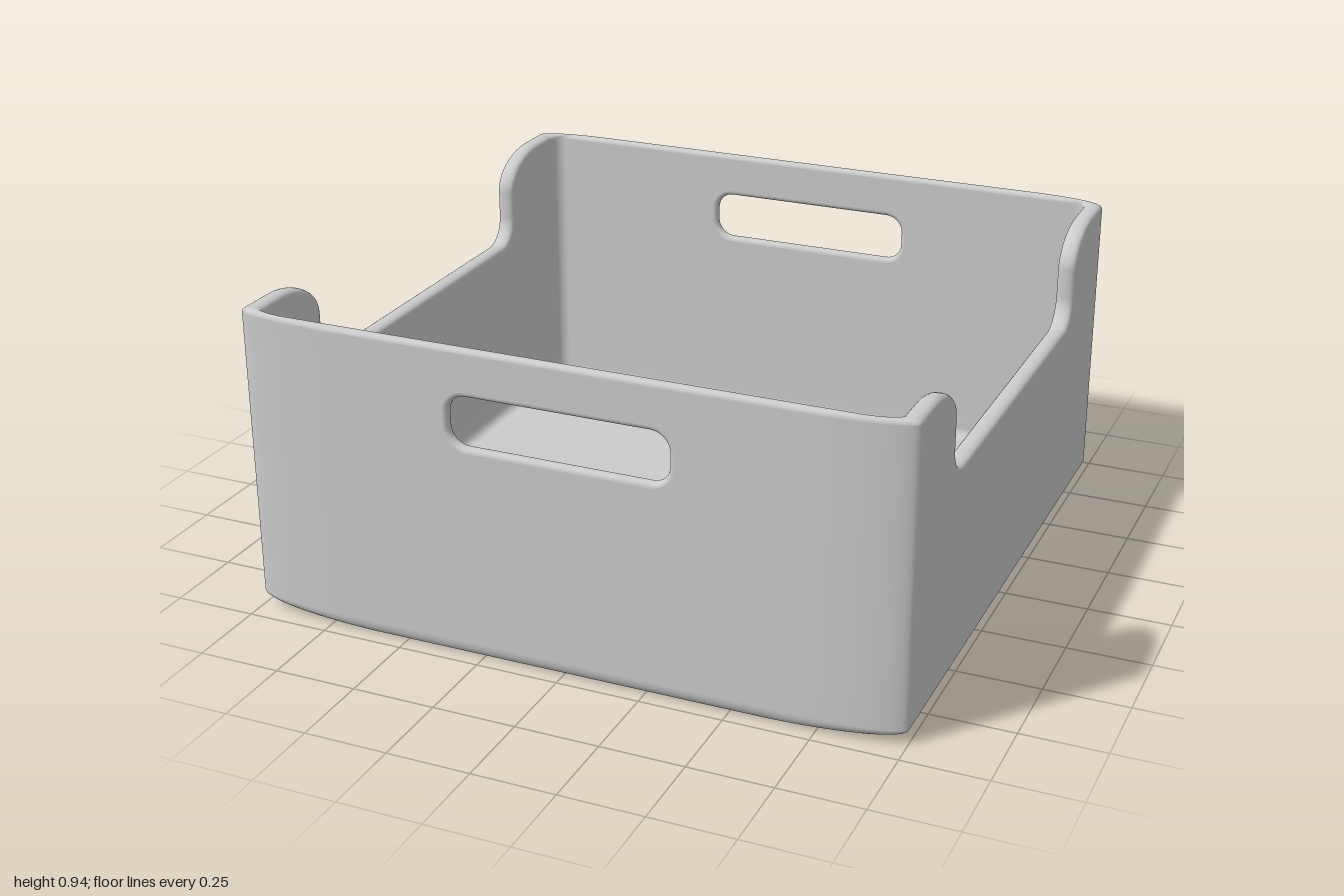
import * as THREE from 'three';

const OX = 1, OZ = 0.965, IX = 0.945, IZ = 0.93; // outer and inner half sizes
const TOP = 0.94, FLOOR = 0.05, R = 0.015;       // rim height, floor height, edge rounding
const WIN = 0.5, WIN_Y = 0.15;                   // flat panel that holds each grip hole
const material = new THREE.MeshStandardMaterial({ color: 0xcccccc, side: THREE.DoubleSide });
const steps = (n, fn) => Array.from({ length: n + 1 }, (_, i) => fn((i / n) * Math.PI / 2));

// Rounded wall edge: f runs from outer (0) to inner (1) face, d is the inset from the edge
const edgeProfile = [
  ...steps(5, a => ({ f: 0.43 * (1 - Math.cos(a)), d: R * (1 - Math.sin(a)) })),
  ...steps(5, a => ({ f: 1 - 0.43 * (1 - Math.sin(a)), d: R * (1 - Math.cos(a)) })),
];

// Quarter of the plan, from front wall round the corner to the side notch
function quarterStations() {
  const list = [];
  const add = (P, Q, h = TOP, n = [0, 1]) => list.push({ P, Q, h, n });
  const side = (z, h, n) => add([OX, z], [IX, z], h, n);
  add([WIN, OZ], [WIN, IZ]);
  add([0.64, OZ], [0.7, IZ]);
  steps(12, a => add(
    [0.7 + 0.3 * Math.sin(a), 0.915 + 0.05 * Math.cos(a)],
    [0.905 + 0.04 * Math.sin(a), 0.89 + 0.04 * Math.cos(a)]));
  side(0.85, TOP, [0, 1]);
  // shoulder curve, then foot curve of the notch
  steps(10, a => {
    const n = new THREE.Vector2(-Math.sin(a) / 0.2, Math.cos(a) / 0.12).normalize();
    side(0.8 - 0.2 * Math.sin(a), 0.82 + 0.12 * Math.cos(a), [n.x, n.y]);
  });
  steps(8, a => side(0.52 + 0.08 * Math.cos(a), 0.73 - 0.08 * Math.sin(a),
    [-Math.cos(a), Math.sin(a)]));
  return list;
}

// Joins rows of points into a smooth surface; skip(i, j) leaves openings
function loft(rows, skip = () => false, caps = []) {
  const n = rows[0].length, pos = rows.flat(2), idx = [];
  for (let j = 0; j < rows.length - 1; j++) for (let i = 0; i < n; i++) {
    if (skip(i, j)) continue;
    const a = j * n + i, b = j * n + (i + 1) % n;
    idx.push(a, b, b + n, a, b + n, a + n);
  }
  // flat caps on the first and last rows
  for (const j of caps) {
    const c = pos.length / 3;
    pos.push(0, rows[j][0][1], 0);
    for (let i = 0; i < n; i++) {
      const a = j * n + i, b = j * n + (i + 1) % n;
      idx.push(c, ...(j === 0 ? [b, a] : [a, b]));
    }
  }
  const g = new THREE.BufferGeometry();
  g.setAttribute('position', new THREE.Float32BufferAttribute(pos, 3));
  g.setIndex(idx);
  g.computeVertexNormals();
  return g;
}

function tubGeometry() {
  const q = quarterStations(), back = [...q].reverse();
  const put = (list, sx, sz) => list.map(s => ({ ...s, sx, sz }));
  const ring = [...put(q, 1, 1), ...put(back, 1, -1), ...put(q, -1, -1), ...put(back, -1, 1)];
  const row = (f, d, y, kx = 1, kz = 1) => ring.map(s => {
    const x = THREE.MathUtils.lerp(s.P[0], s.Q[0], f);
    const z = THREE.MathUtils.lerp(s.P[1], s.Q[1], f) - s.n[0] * d;
    return [s.sx * x * kx, y ?? s.h - s.n[1] * d, s.sz * z * kz];
  });
  const rows = [];
  // outer bottom edge, wide across x and tight across z
  steps(10, a => {
    const c = 1 - Math.sin(a);
    rows.push(row(0, R, 0.045 * (1 - Math.cos(a)), 1 - 0.3 * c, 1 - 0.03 * c));
  });
  const outer = rows.push(row(0, R, WIN_Y)) - 1;
  edgeProfile.forEach(e => rows.push(row(e.f, e.d)));
  const inner = rows.length - 1;
  rows.push(row(1, R, WIN_Y));
  // inner fillet down to the floor
  steps(5, a => {
    const c = 0.03 * (1 - Math.cos(a));
    rows.push(row(1, R, FLOOR + 0.03 * (1 - Math.sin(a)), 1 - c / IX, 1 - c / IZ));
  });
  const n = q.length;
  const skip = (i, j) => (i === 2 * n - 1 || i === 4 * n - 1) && (j === outer || j === inner);
  return loft(rows, skip, [0, rows.length - 1]);
}

// Grip hole outline grown by d, counter-clockwise
function holeOutline(d) {
  const pts = [], r = 0.055;
  [[1, 1], [-1, 1], [-1, -1], [1, -1]].forEach(([sx, sy], k) => steps(8, a => {
    const t = a + k * Math.PI / 2;
    pts.push(new THREE.Vector2(
      sx * (0.33 - r) + (r + d) * Math.cos(t),
      0.725 + sy * (0.075 - r) + (r + d) * Math.sin(t)));
  }));
  return pts;
}

function gripPanel() {
  const group = new THREE.Group();
  const shape = new THREE.Shape([
    [-WIN, WIN_Y], [WIN, WIN_Y], [WIN, TOP - R], [-WIN, TOP - R],
  ].map(p => new THREE.Vector2(...p)));
  shape.holes.push(new THREE.Path(holeOutline(R)));
  const lip = edgeProfile.map(e =>
    holeOutline(e.d).map(p => [p.x, p.y, THREE.MathUtils.lerp(OZ, IZ, e.f)])).reverse();
  const parts = {
    panelOuterFace: new THREE.ShapeGeometry(shape).translate(0, 0, OZ),
    panelInnerFace: new THREE.ShapeGeometry(shape).rotateY(Math.PI).translate(0, 0, IZ),
    gripHoleLip: loft(lip.map(r => r.reverse())),
  };
  for (const [name, geometry] of Object.entries(parts)) {
    const mesh = new THREE.Mesh(geometry, material);
    mesh.name = name;
    group.add(mesh);
  }
  return group;
}

export function createModel() {
  const model = new THREE.Group();
  model.name = 'storageBin';
  const tub = new THREE.Mesh(tubGeometry(), material);
  tub.name = 'tub';
  model.add(tub);
  ['frontGripPanel', 'backGripPanel'].forEach((name, i) => {
    const panel = gripPanel();
    panel.name = name;
    panel.rotation.y = i * Math.PI;
    model.add(panel);
  });
  return model;
}
